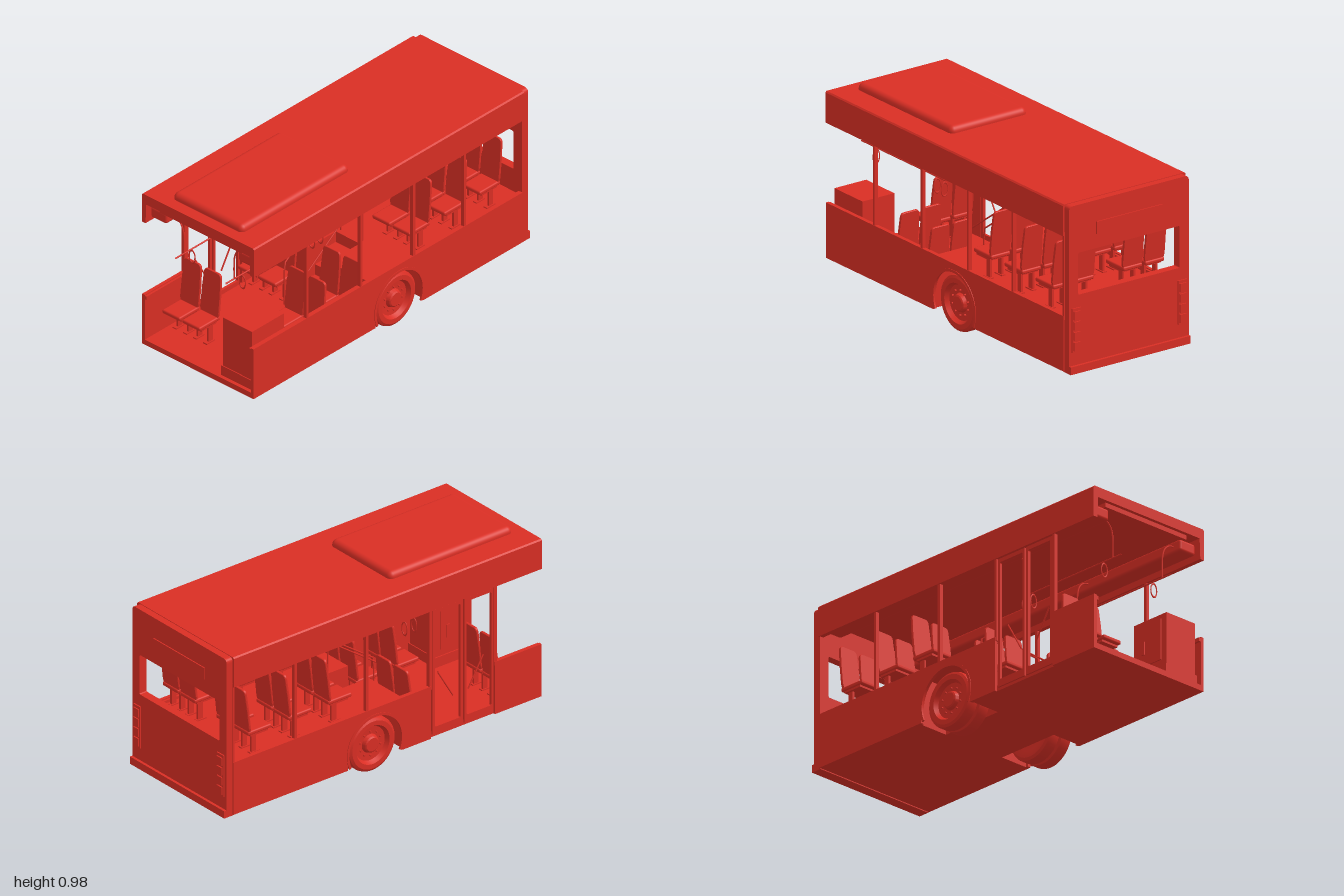
import * as THREE from 'three';
import { toCreasedNormals } from 'three/addons/utils/BufferGeometryUtils.js';
import { RoundedBoxGeometry } from 'three/addons/geometries/RoundedBoxGeometry.js';

const red = new THREE.MeshStandardMaterial({ color: 0xd92e24, side: THREE.DoubleSide });
red.name = 'bus red';
const V = (x, y, z) => new THREE.Vector3(x, y, z);

function add(parent, name, geometry) {
  const mesh = new THREE.Mesh(geometry, red);
  mesh.name = name;
  parent.add(mesh);
  return mesh;
}

// box given by its limits
function box(parent, name, x0, x1, y0, y1, z0, z1) {
  const g = new THREE.BoxGeometry(Math.abs(x1 - x0), y1 - y0, Math.abs(z1 - z0));
  return add(parent, name, g.translate((x0 + x1) / 2, (y0 + y1) / 2, (z0 + z1) / 2));
}

function rod(parent, name, points, r = 0.004) {
  const path = new THREE.CurvePath();
  for (let i = 1; i < points.length; i++) path.add(new THREE.LineCurve3(points[i - 1], points[i]));
  return add(parent, name, new THREE.TubeGeometry(path, (points.length - 1) * 4, r, 8));
}

function polygon(pts) {
  return new THREE.Shape(pts.map(p => new THREE.Vector2(p[0], p[1])));
}

function roundRect(x0, x1, y0, y1, r) {
  const s = new THREE.Shape();
  s.moveTo(x0 + r, y0).lineTo(x1 - r, y0).quadraticCurveTo(x1, y0, x1, y0 + r);
  s.lineTo(x1, y1 - r).quadraticCurveTo(x1, y1, x1 - r, y1);
  s.lineTo(x0 + r, y1).quadraticCurveTo(x0, y1, x0, y1 - r);
  s.lineTo(x0, y0 + r).quadraticCurveTo(x0, y0, x0 + r, y0);
  return s;
}

// extrude a (z, y) outline across x, from x0 to x0 + depth
function sidePlate(parent, name, shape, x0, depth) {
  const g = new THREE.ExtrudeGeometry(shape, { depth, bevelEnabled: false, curveSegments: 32 });
  return add(parent, name, g.rotateY(-Math.PI / 2).translate(x0 + depth, 0, 0));
}

const AXLE_Z = -0.05, AXLE_Y = 0.147, ARCH = 0.172;

// lower side panel, optionally with the wheel arch cut out
function skirt(parent, side, z0, z1, arch) {
  const s = new THREE.Shape();
  s.moveTo(z0, 0.07);
  if (arch) {
    s.lineTo(AXLE_Z - ARCH, 0.07).lineTo(AXLE_Z - ARCH, AXLE_Y);
    s.absarc(AXLE_Z, AXLE_Y, ARCH, Math.PI, 0, true);
    s.lineTo(AXLE_Z + ARCH, 0.07);
  }
  s.lineTo(z1, 0.07).lineTo(z1, 0.36).lineTo(z0, 0.36).closePath();
  sidePlate(parent, 'sideSkirt', s, side > 0 ? 0.354 : -0.372, 0.018);
  box(parent, 'windowLedge', side * 0.342, side * 0.356, 0.335, 0.355, z0, z1);
}

function seat(parent, x, floor, zBack) {
  const g = new THREE.Group();
  g.name = 'passengerSeat';
  g.position.set(x, floor, zBack);
  parent.add(g);
  add(g, 'seatCushion', new RoundedBoxGeometry(0.118, 0.022, 0.15, 2, 0.008)).position.set(0, 0.122, 0.085);
  const s = new THREE.Shape();
  s.moveTo(-0.052, 0).lineTo(0.052, 0).lineTo(0.06, 0.03).lineTo(0.059, 0.14).lineTo(0.054, 0.225);
  s.quadraticCurveTo(0.052, 0.245, 0.034, 0.245).lineTo(-0.034, 0.245);
  s.quadraticCurveTo(-0.052, 0.245, -0.054, 0.225).lineTo(-0.059, 0.14).lineTo(-0.06, 0.03).closePath();
  const back = add(g, 'seatBack', new THREE.ExtrudeGeometry(s, {
    depth: 0.008, bevelThickness: 0.003, bevelSize: 0.002, bevelSegments: 1 }));
  back.position.set(0, 0.12, 0.02);
  back.rotation.x = -0.11;
  box(g, 'seatFrame', -0.052, 0.052, 0.1, 0.112, 0.03, 0.14);
  for (const lx of [-0.035, 0.035]) {
    box(g, 'seatLeg', lx - 0.006, lx + 0.006, 0, 0.102, 0.045, 0.075);
    box(g, 'seatFoot', lx - 0.012, lx + 0.012, 0, 0.006, 0.035, 0.095);
  }
}

function wheel(parent, side, cx) {
  const g = new THREE.Group();
  g.name = 'wheel';
  g.position.set(side * cx, AXLE_Y, AXLE_Z);
  g.rotation.z = -side * Math.PI / 2;
  parent.add(g);
  const profile = [[0, -0.03], [0.09, -0.03], [0.105, -0.0375], [0.13, -0.0375], [0.143, -0.03], [0.147, -0.018],
    [0.147, 0.018], [0.143, 0.03], [0.13, 0.0375], [0.105, 0.0375], [0.1, 0.028], [0.092, 0.015],
    [0.05, 0.012], [0.043, 0.03], [0.036, 0.035], [0, 0.035]].map(p => new THREE.Vector2(p[0], p[1]));
  add(g, 'tyreAndRim', toCreasedNormals(new THREE.LatheGeometry(profile, 48), 0.5));
  for (let i = 0; i < 10; i++) {
    const a = i * Math.PI / 5;
    add(g, 'wheelBolt', new THREE.CylinderGeometry(0.005, 0.005, 0.012, 6))
      .position.set(0.066 * Math.cos(a), 0.018, 0.066 * Math.sin(a));
  }
}

export function createModel() {
  const bus = new THREE.Group();
  bus.name = 'cutawayBus';

  // roof shell with deep side bands, ceiling strip and roof unit
  const roof = polygon([[-0.375, 0.78], [-0.35, 0.78], [-0.345, 0.89], [0.345, 0.89], [0.35, 0.78], [0.375, 0.78],
    [0.375, 0.938], [0.368, 0.945], [-0.368, 0.945], [-0.375, 0.938]]);
  add(bus, 'roofShell', new THREE.ExtrudeGeometry(roof, { depth: 1.947, bevelEnabled: false }).translate(0, 0, -0.947));
  box(bus, 'ceilingStrip', -0.275, 0.275, 0.866, 0.89, -0.94, 0.98);
  add(bus, 'roofUnit', new RoundedBoxGeometry(0.47, 0.08, 0.78, 4, 0.03)).position.set(0, 0.94, 0.545);

  // rear wall with window, trim plate, bumper and lamp stacks
  const rear = roundRect(-0.366, 0.366, 0.075, 0.942, 0.025);
  rear.holes.push(roundRect(-0.31, 0.31, 0.47, 0.69, 0.008));
  add(bus, 'rearWall', new THREE.ExtrudeGeometry(rear, { depth: 0.045, bevelEnabled: false }).translate(0, 0, -0.985));
  box(bus, 'rearTrimPlate', -0.2, 0.2, 0.765, 0.83, -0.991, -0.984);
  box(bus, 'rearBumper', -0.366, 0.366, 0.065, 0.105, -1, -0.94);
  for (const s of [-1, 1]) {
    box(bus, 'lampHousing', s * 0.297, s * 0.35, 0.175, 0.405, -0.992, -0.984);
    for (let i = 0; i < 4; i++)
      box(bus, 'rearLamp', s * 0.304, s * 0.343, 0.185 + i * 0.054, 0.228 + i * 0.054, -0.999, -0.99);
  }

  // side panels, corner posts and window pillars
  skirt(bus, 1, -0.947, 1, true);
  skirt(bus, -1, -0.947, 0.3, true);
  skirt(bus, -1, 0.705, 1, false);
  const pillars = { '1': [0.61, 0.22, -0.16, -0.525], '-1': [0.71, 0.3, -0.1, -0.55] };
  for (const s of [-1, 1]) {
    for (const z of pillars[s]) box(bus, 'windowPillar', s * 0.35, s * 0.37, 0.34, 0.79, z - 0.008, z + 0.008);
    box(bus, 'rearCornerPost', s * 0.35, s * 0.37, 0.34, 0.8, -0.95, -0.938);
    // raised wheel arch lip
    const lip = new THREE.Shape();
    lip.absarc(AXLE_Z, AXLE_Y, ARCH + 0.008, -0.42, Math.PI + 0.42, false);
    lip.absarc(AXLE_Z, AXLE_Y, ARCH - 0.006, Math.PI + 0.42, -0.42, true);
    sidePlate(bus, 'archLip', lip, s > 0 ? 0.366 : -0.375, 0.009);
    wheel(bus, s, 0.316);
    wheel(bus, s, 0.239);
  }
  rod(bus, 'axle', [V(-0.3, AXLE_Y, AXLE_Z), V(0.3, AXLE_Y, AXLE_Z)], 0.025);

  // low floor, raised rear floor, wheel wells and steps
  box(bus, 'lowFloor', -0.36, 0.36, 0.07, 0.1, 0.14, 1);
  box(bus, 'rearFloor', -0.355, 0.355, 0.07, 0.34, -0.945, -0.235);
  box(bus, 'aisleFloor', -0.08, 0.08, 0.07, 0.34, -0.235, -0.08);
  for (let i = 0; i < 3; i++)
    box(bus, 'step', -0.08, 0.08, 0.07, 0.16 + i * 0.06, -0.08 + (2 - i) * 0.075, -0.005 + (2 - i) * 0.075);
  for (const s of [-1, 1]) {
    box(bus, 'podium', s * 0.08, s * 0.19, 0.07, 0.34, -0.235, 0.14);
    box(bus, 'wheelWellTop', s * 0.19, s * 0.355, 0.325, 0.34, -0.235, 0.14);
    box(bus, 'wheelWellWall', s * 0.08, s * 0.355, 0.07, 0.34, 0.13, 0.145);
    // stair handrail
    rod(bus, 'stairRail', [V(s * 0.072, 0.1, 0.3), V(s * 0.072, 0.335, 0.3), V(s * 0.072, 0.59, -0.06),
      V(s * 0.072, 0.594, -0.108), V(s * 0.072, 0.34, -0.108)]);
  }

  // seats in pairs: three raised rows and the low-floor rows
  for (const x of [0.145, 0.279]) {
    for (const s of [-1, 1])
      for (const z of [-0.325, -0.578, -0.832]) seat(bus, s * x, 0.34, z + s * 0.004);
    seat(bus, x, 0.1, 0.44);
    seat(bus, x, 0.1, 0.19);
    seat(bus, -x, 0.1, 0.19);
    seat(bus, -x, 0.1, 0.735);
  }

  // driver's cabinet with a handle and panel on its aisle side
  box(bus, 'cabinetBase', 0.137, 0.345, 0.1, 0.155, 0.74, 0.98);
  box(bus, 'cabinet', 0.144, 0.338, 0.15, 0.435, 0.745, 0.975);
  box(bus, 'cabinetPanel', 0.138, 0.145, 0.19, 0.41, 0.78, 0.94);
  box(bus, 'cabinetHandle', 0.132, 0.14, 0.25, 0.32, 0.81, 0.83);

  // double door: two open frames, each with a slanted grab bar
  for (const [z0, z1, dir] of [[0.515, 0.7, 1], [0.315, 0.505, -1]]) {
    const leaf = polygon([[z0, 0.085], [z1, 0.085], [z1, 0.775], [z0, 0.775]]);
    leaf.holes.push(roundRect(z0 + 0.015, z1 - 0.015, 0.125, 0.755, 0.008));
    sidePlate(bus, 'doorLeaf', leaf, -0.368, 0.014);
    const mid = (z0 + z1) / 2;
    rod(bus, 'doorGrabBar', [V(-0.345, 0.41, mid + dir * 0.045), V(-0.345, 0.25, mid - dir * 0.05)]);
  }
  rod(bus, 'doorTopRail', [V(-0.345, 0.765, 0.32), V(-0.345, 0.765, 0.7)], 0.006);

  // ceiling ducts, overhead rails, brackets and hanging loops
  for (const s of [-1, 1]) {
    add(bus, 'ceilingDuct', new RoundedBoxGeometry(0.106, 0.062, 1.9, 3, 0.014)).position.set(s * 0.293, 0.835, 0.02);
    rod(bus, 'overheadRail', [V(s * 0.168, 0.645, 0.98), V(s * 0.168, 0.645, 0.29)]);
    for (const z of [0.92, 0.32]) {
      const bend = new THREE.CatmullRomCurve3([V(s * 0.245, 0.838, z), V(s * 0.215, 0.832, z), V(s * 0.187, 0.81, z),
        V(s * 0.172, 0.775, z), V(s * 0.168, 0.73, z), V(s * 0.168, 0.645, z)]);
      add(bus, 'railBracket', new THREE.TubeGeometry(bend, 24, 0.004, 8));
    }
    for (const z of [0.86, 0.36, 0.3]) {
      const loop = add(bus, 'hangingLoop', new THREE.TorusGeometry(0.02, 0.003, 6, 24));
      loop.scale.y = 1.8;
      loop.position.set(s * 0.168, 0.598, z);
    }
  }
  return bus;
}
